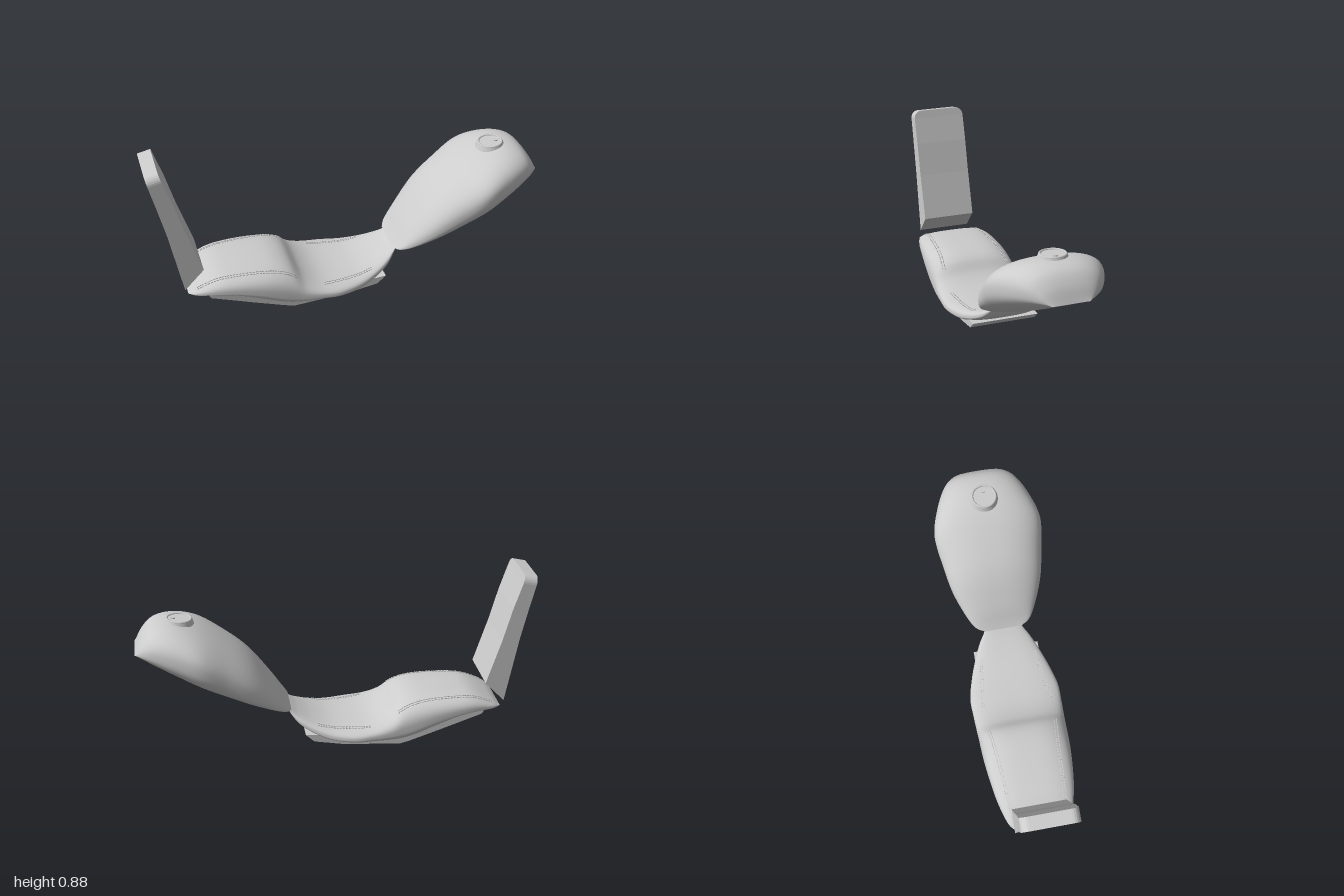
import * as THREE from 'three';
import { mergeGeometries } from 'three/addons/utils/BufferGeometryUtils.js';

const grey = new THREE.MeshStandardMaterial({ color: 0xcccccc });
grey.name = 'pale grey';

// Joins rings of points into a closed skin with both ends capped
function skin(rings) {
  const n = rings[0].length, last = (rings.length - 1) * n, index = [];
  for (let i = 0; i < rings.length - 1; i++) {
    for (let j = 0; j < n; j++) {
      const a = i * n + j, b = i * n + (j + 1) % n;
      index.push(a, b, a + n, b, b + n, a + n);
    }
  }
  for (let j = 1; j < n - 1; j++) index.push(0, j + 1, j, last, last + j, last + j + 1);
  const g = new THREE.BufferGeometry();
  g.setAttribute('position', new THREE.Float32BufferAttribute(rings.flat(2), 3));
  g.setIndex(index);
  g.computeVertexNormals();
  return g;
}

// Smooth station lookup; each station is [x, top, bottom, half width, height of widest line]
function stationCurve(stations) {
  const interp = new THREE.CubicInterpolant(stations.map((_, i) => i), stations.flat(), 5, new Float32Array(5));
  return t => [...interp.evaluate(t)];
}

// Lofted cushion-like body with superellipse sections
function body(curve, count, upper, lower) {
  const rings = [], steps = (count - 1) * 6, sides = 64;
  for (let i = 0; i <= steps; i++) {
    const [x, top, bottom, w, mid] = curve(i / 6);
    const ring = [];
    for (let j = 0; j < sides; j++) {
      const a = (j / sides) * Math.PI * 2, c = Math.cos(a), s = -Math.sin(a);
      const p = 2 / (s > 0 ? upper : lower);
      const h = Math.abs(s) ** p;
      ring.push([x, s > 0 ? mid + (top - mid) * h : mid - (mid - bottom) * h, w * Math.sign(c) * Math.abs(c) ** p]);
    }
    rings.push(ring);
  }
  return skin(rings);
}

const TANK = [
  [0.235, 0.203, 0.203, 0.1, 0.203],
  [0.26, 0.24, 0.207, 0.145, 0.217],
  [0.32, 0.335, 0.222, 0.185, 0.255],
  [0.43, 0.475, 0.263, 0.235, 0.345],
  [0.55, 0.575, 0.318, 0.262, 0.43],
  [0.68, 0.655, 0.38, 0.28, 0.52],
  [0.8, 0.693, 0.445, 0.245, 0.56],
  [0.9, 0.683, 0.497, 0.195, 0.58],
  [0.96, 0.63, 0.53, 0.145, 0.572],
  [1.0, 0.552, 0.552, 0.09, 0.552],
];

const SEAT = [
  [-0.845, 0.163, 0.163, 0.13, 0.163],
  [-0.8, 0.195, 0.157, 0.165, 0.167],
  [-0.7, 0.238, 0.153, 0.195, 0.172],
  [-0.6, 0.25, 0.13, 0.212, 0.165],
  [-0.48, 0.252, 0.08, 0.225, 0.14],
  [-0.39, 0.245, 0.045, 0.23, 0.11],
  [-0.32, 0.22, 0.03, 0.232, 0.09],
  [-0.257, 0.165, 0.03, 0.235, 0.08],
  [-0.176, 0.13, 0.035, 0.238, 0.075],
  [-0.08, 0.118, 0.04, 0.238, 0.07],
  [0.03, 0.122, 0.045, 0.21, 0.075],
  [0.12, 0.143, 0.075, 0.175, 0.1],
  [0.19, 0.172, 0.115, 0.14, 0.135],
  [0.23, 0.195, 0.158, 0.11, 0.173],
  [0.257, 0.211, 0.211, 0.09, 0.211],
];
const SEAT_ROUND = 3;

// Paired rows of small stitches laid on the seat top, on both sides
function stitches(curve, t0, t1, z0, z1) {
  const parts = [];
  const at = (t, inset) => {
    const [x, top, , w, mid] = curve(t);
    const z = THREE.MathUtils.lerp(z0, z1, (t - t0) / (t1 - t0)) - inset;
    const y = mid + (top - mid) * Math.max(0, 1 - (z / w) ** SEAT_ROUND) ** (1 / SEAT_ROUND);
    return new THREE.Vector3(x, y, z);
  };
  for (const inset of [0, 0.012]) {
    for (let t = t0; t < t1; t += 0.14) {
      const a = at(t, inset), b = at(t + 0.1, inset);
      for (const side of [1, -1]) {
        const g = new THREE.BoxGeometry(a.distanceTo(b), 0.004, 0.004);
        g.rotateZ(Math.atan2(b.y - a.y, b.x - a.x));
        g.translate((a.x + b.x) / 2, (a.y + b.y) / 2 + 0.001, side * (a.z + b.z) / 2);
        parts.push(g);
      }
    }
  }
  return mergeGeometries(parts);
}

// Wedge-footed upright panel with rounded upper corners
function panelGeometry() {
  // back x, back y, front x, front y, half width
  const rows = [
    [-0.86, 0.195, -0.76, 0.3, 0.14],
    [-0.925, 0.545, -0.834, 0.535, 0.14],
    [-0.958, 0.69, -0.88, 0.706, 0.14],
  ];
  for (let i = 0; i <= 6; i++) {
    const a = (i / 6) * Math.PI / 2, d = 0.04 * (1 - Math.sin(a));
    rows.push([-1 + d * 0.24, 0.865 - d, -0.935 + d * 0.29, 0.88 - d, 0.1 + 0.04 * Math.cos(a)]);
  }
  const g = skin(rows.map(([bx, by, fx, fy, w]) => [[bx, by, w], [fx, fy, w], [fx, fy, -w], [bx, by, -w]])).toNonIndexed();
  g.computeVertexNormals();
  return g;
}

// Bent tray under the seat
function trayGeometry() {
  const outline = [
    [-0.75, 0.165], [-0.74, 0.145], [-0.52, 0.068], [-0.36, 0.014], [-0.31, 0.002], [-0.016, 0.024],
    [0.128, 0.05], [0.172, 0.09], [0.1, 0.085], [0, 0.065], [-0.3, 0.05], [-0.5, 0.1], [-0.65, 0.155],
  ].map(p => new THREE.Vector2(...p));
  const g = new THREE.ExtrudeGeometry(new THREE.Shape(outline), { depth: 0.35, bevelEnabled: false });
  return g.translate(0, 0, -0.175);
}

export function createModel() {
  const model = new THREE.Group();
  const add = (name, geometry, parent = model) => {
    const mesh = new THREE.Mesh(geometry, grey);
    mesh.name = name;
    parent.add(mesh);
    return mesh;
  };

  add('tank', body(stationCurve(TANK), TANK.length, 2.4, 2.5));

  // Filler cap with raised rim and a small lock
  const cap = new THREE.Group();
  cap.name = 'fillerCap';
  cap.position.set(0.775, 0.687, 0);
  cap.rotation.z = 0.06;
  add('capBase', new THREE.CylinderGeometry(0.066, 0.075, 0.024, 40), cap);
  add('capRim', new THREE.TorusGeometry(0.06, 0.006, 8, 40).rotateX(Math.PI / 2), cap).position.y = 0.012;
  add('capLock', new THREE.CylinderGeometry(0.012, 0.012, 0.006, 20), cap).position.set(0.03, 0.014, 0);
  model.add(cap);

  const seat = stationCurve(SEAT);
  add('seat', body(seat, SEAT.length, SEAT_ROUND, 2.6));
  add('rearStitching', stitches(seat, 1, 6.3, 0.14, 0.182));
  add('frontStitching', stitches(seat, 8.2, 10.8, 0.188, 0.15));
  add('seatTray', trayGeometry());
  add('rearPanel', panelGeometry());
  return model;
}
